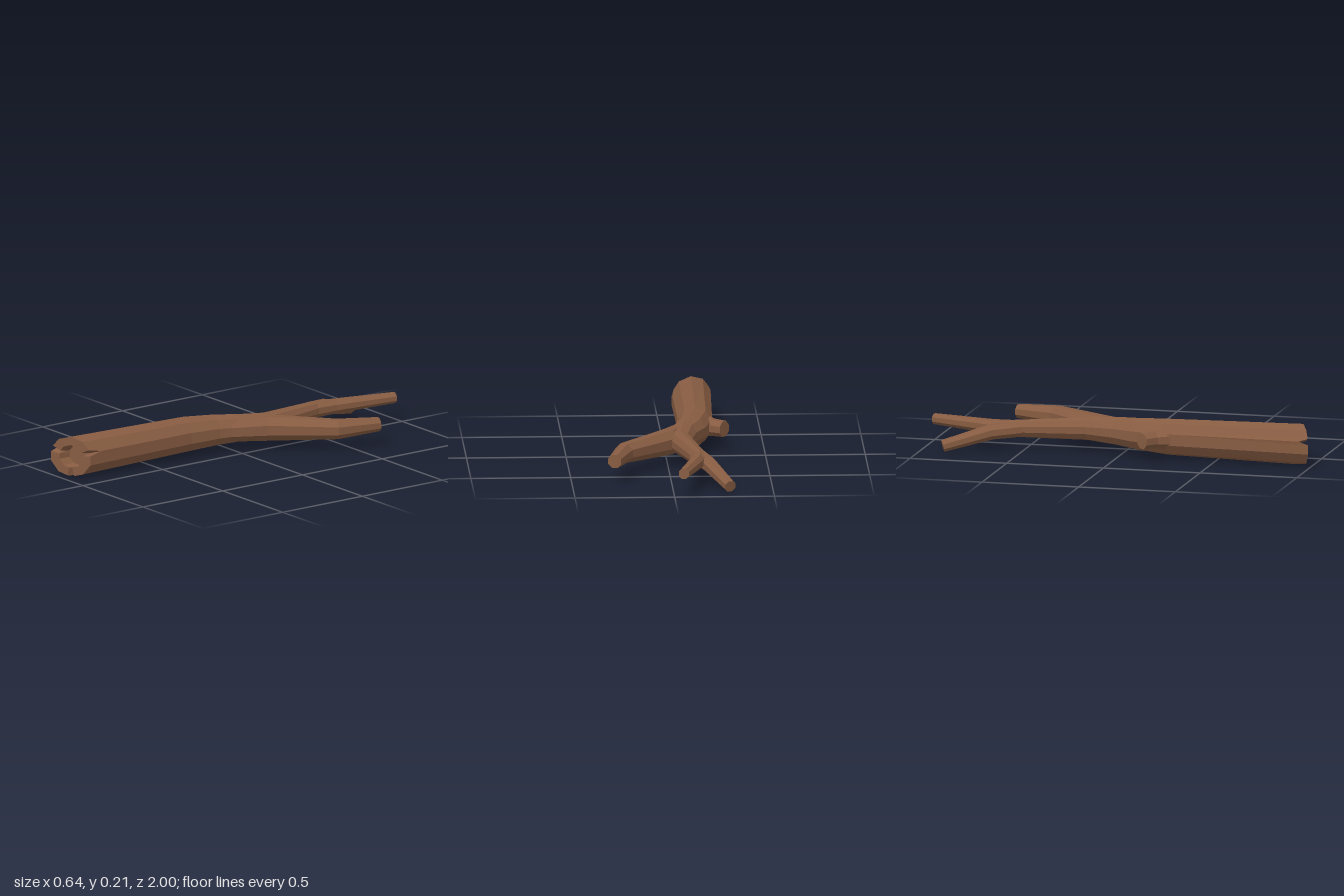
import * as THREE from 'three';

const bark = new THREE.MeshStandardMaterial({ color: 0x875c42 });
bark.name = 'brownBark';
bark.flatShading = true;

const UP = new THREE.Vector3(0, 1, 0);
const rad = THREE.MathUtils.degToRad;

// Corner list [angle, radius factor] of a regular polygon
const polygon = (sides, start) =>
  Array.from({ length: sides }, (_, i) => [start + rad(360 / sides) * i, 1]);

// Cross-sections swept along a path of [x, y, z, radius]
function sweep(path, corners) {
  const centres = path.map((p) => new THREE.Vector3(p[0], p[1], p[2]));
  const last = path.length - 1;
  return path.map((p, i) => {
    const t = new THREE.Vector3();
    if (i < last) t.add(centres[i + 1].clone().sub(centres[i]).normalize());
    if (i > 0) t.add(centres[i].clone().sub(centres[i - 1]).normalize());
    t.normalize();
    const side = t.clone().cross(UP).normalize();
    const up = side.clone().cross(t);
    return corners.map(([a, k]) => centres[i].clone()
      .addScaledVector(side, Math.cos(a) * k * p[3])
      .addScaledVector(up, Math.sin(a) * k * p[3]));
  });
}

// A ring collapsed to its centre, to close an end
function closeRing(ring) {
  const c = new THREE.Vector3();
  ring.forEach((p) => c.addScaledVector(p, 1 / ring.length));
  return ring.map(() => c);
}

// Skin a list of rings with triangles
function skin(name, rings) {
  const pos = [];
  const n = rings[0].length;
  const tri = (...pts) => {
    const [a, b, c] = pts;
    if (a.distanceTo(b) < 1e-6 || b.distanceTo(c) < 1e-6 || a.distanceTo(c) < 1e-6) return;
    pts.forEach((p) => pos.push(p.x, p.y, p.z));
  };
  for (let j = 0; j < rings.length - 1; j++) {
    for (let i = 0; i < n; i++) {
      const k = (i + 1) % n;
      const a = rings[j][i], b = rings[j][k], c = rings[j + 1][i], d = rings[j + 1][k];
      tri(a, c, b);
      tri(b, c, d);
    }
  }
  const geo = new THREE.BufferGeometry();
  geo.setAttribute('position', new THREE.Float32BufferAttribute(pos, 3));
  geo.computeVertexNormals();
  const mesh = new THREE.Mesh(geo, bark);
  mesh.name = name;
  return mesh;
}

function branch(name, path) {
  const rings = sweep(path, polygon(8, rad(22.5)));
  return skin(name, [closeRing(rings[0]), ...rings, closeRing(rings[rings.length - 1])]);
}

// Ten-sided trunk with a slanted, hollow end split by three notches
function trunk() {
  const notches = { 18: 0.07, 162: 0.05, 270: 0.05 };
  const corners = [];
  const depth = [];
  for (let deg = 18; deg < 378; deg += 36) {
    const cut = notches[deg];
    const k = Math.cos(rad(18)) / Math.cos(rad(9));
    if (cut) { corners.push([rad(deg - 9), k]); depth.push(0); }
    corners.push([rad(deg), 1]);
    depth.push(cut || 0);
    if (cut) { corners.push([rad(deg + 9), k]); depth.push(0); }
  }
  const cx = -0.168, cy = 0.11;
  const endRing = (r, back, cutScale) => corners.map(([a, k], i) => {
    const x = cx + Math.cos(a) * k * r;
    const z = 0.95 - 0.5 * (x - cx) - back - depth[i] * cutScale;
    return new THREE.Vector3(x, cy + Math.sin(a) * k * r, z);
  });
  const floor = endRing(0.055, 0.06, 0);
  const body = sweep([
    [-0.157, 0.112, 0.25, 0.092],
    [-0.127, 0.113, 0.08, 0.081],
    [-0.087, 0.114, -0.03, 0.072],
    [-0.067, 0.114, -0.19, 0.058],
    [-0.142, 0.112, -0.56, 0.043],
    [-0.148, 0.111, -0.65, 0.03],
  ], corners);
  return skin('trunk', [
    closeRing(floor), floor,
    endRing(0.06, 0, 0.7), endRing(0.104, 0, 1),
    ...body, closeRing(body[body.length - 1]),
  ]);
}

export function createModel() {
  const group = new THREE.Group();
  group.name = 'fallenBranch';
  group.add(
    trunk(),
    // Bent side branch
    branch('sideBranch', [
      [-0.085, 0.113, 0.02, 0.06],
      [-0.005, 0.113, -0.16, 0.067],
      [0.228, 0.113, -0.425, 0.052],
      [0.285, 0.115, -0.64, 0.036],
    ]),
    // Forked twigs at the far end
    branch('upperTwig', [
      [-0.138, 0.112, -0.54, 0.042],
      [-0.125, 0.113, -0.67, 0.038],
      [-0.046, 0.122, -0.99, 0.028],
    ]),
    branch('lowerTwig', [
      [-0.14, 0.112, -0.52, 0.042],
      [-0.19, 0.098, -0.66, 0.04],
      [-0.284, 0.033, -0.885, 0.031],
    ]),
    // Short broken stub
    branch('stub', [
      [-0.185, 0.111, 0.28, 0.06],
      [-0.24, 0.111, 0.195, 0.045],
      [-0.3, 0.111, 0.148, 0.042],
    ]),
  );
  return group;
}
